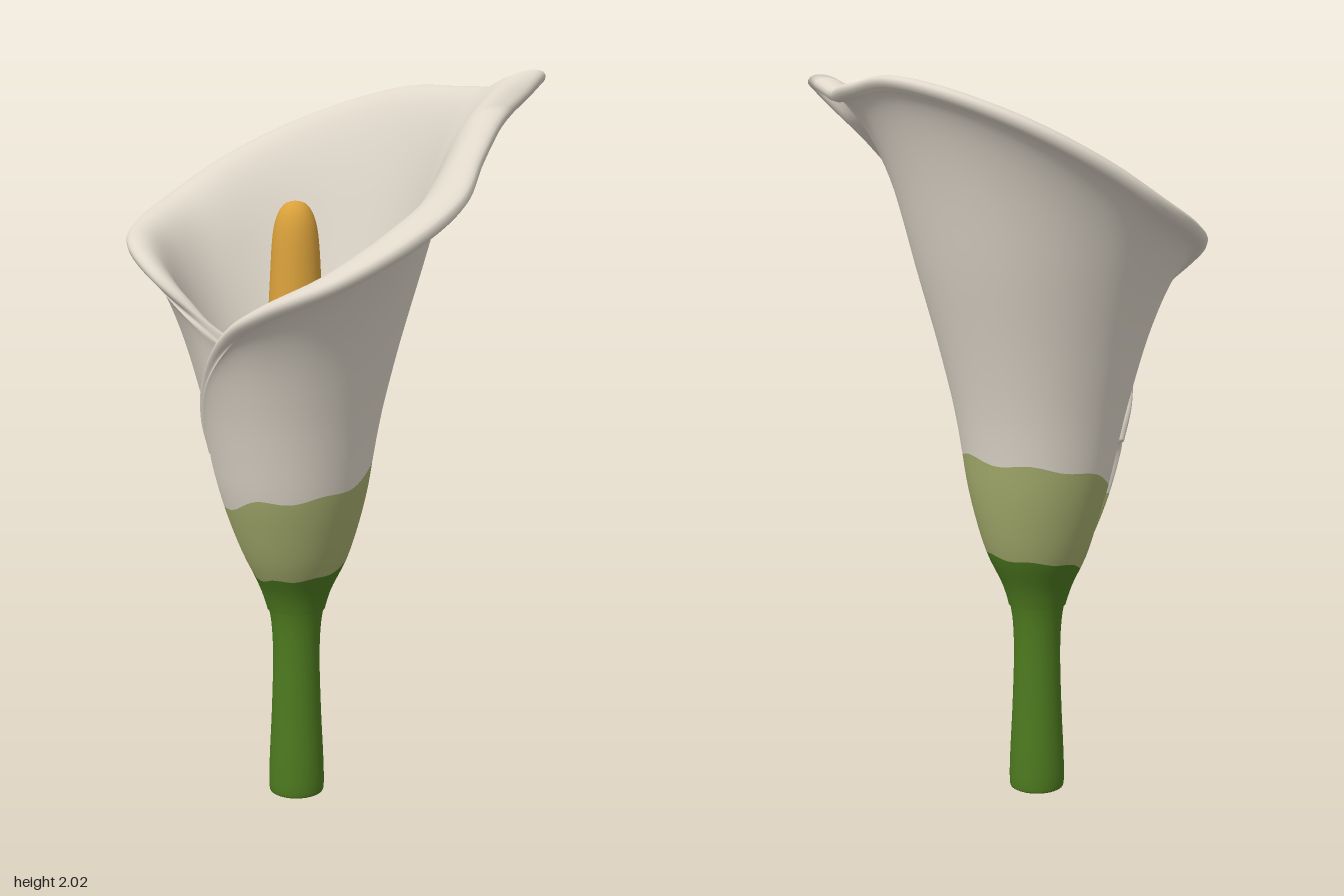
import * as THREE from 'three';

const mat = (name, color) => Object.assign(new THREE.MeshStandardMaterial({ color }), { name });
const V = (x, y, z) => new THREE.Vector3(x, y, z);
const step = THREE.MathUtils.smoothstep;
const AXIS_X = -0.022, AXIS_Z = 0.053;

// Cup radius at every 0.1 of height, from y = 0.4 to y = 2.0
const cup = new THREE.SplineCurve(
  [0.065, 0.07, 0.095, 0.145, 0.18, 0.207, 0.226, 0.246, 0.27, 0.295, 0.322, 0.348, 0.37, 0.39, 0.41, 0.43, 0.45]
    .map((r, i) => new THREE.Vector2(r, 0.4 + i * 0.1)));
const cupRadius = y => cup.getPoint(THREE.MathUtils.clamp((y - 0.4) / 1.6, 0, 1)).x;
const centreZ = y => AXIS_Z + 0.024 * step(y, 0.5, 1.2);

// Rim of the petal: tucked inner end, left lip, back, right lip, outer overlap
const rim = new THREE.CatmullRomCurve3([
  V(0.05, 1.22, 0.135), V(0.02, 1.26, 0.21), V(-0.04, 1.31, 0.29), V(-0.13, 1.39, 0.35), V(-0.25, 1.475, 0.377),
  V(-0.4, 1.55, 0.315), V(-0.515, 1.6, 0.16), V(-0.552, 1.66, 0), V(-0.505, 1.755, -0.16),
  V(-0.39, 1.85, -0.31), V(-0.2, 1.93, -0.418), V(0, 1.97, -0.45), V(0.2, 1.963, -0.407),
  V(0.36, 1.95, -0.355), V(0.44, 1.925, -0.295), V(0.465, 1.86, -0.19), V(0.5, 1.78, -0.07),
  V(0.55, 1.68, 0.08), V(0.525, 1.585, 0.25), V(0.4, 1.485, 0.385),
  V(0.2, 1.405, 0.447), V(0.05, 1.335, 0.422), V(-0.085, 1.21, 0.355), V(-0.14, 1.1, 0.305), V(-0.15, 1.0, 0.265),
], false, 'centripetal');

// Small pointed tip pulled out of the back right corner of the rim
const TIP_ROOT = V(0.43, 1.93, -0.31), TIP_PULL = V(0.09, 0.065, -0.015), TIP_WIDTH = 0.04;

function spatheGeometry() {
  const COLS = 260, LOW = 6, MID = 8, TOP = 32, ROWS = LOW + MID + TOP, HALF = 0.02;
  const INNER_GREEN = LOW + 3;
  const grid = [];
  let last = null;
  // Mid surface: a cup that rolls out to the rim, column by column
  for (let i = 0; i <= COLS; i++) {
    const u = i / COLS;
    const s = THREE.MathUtils.clamp(u - 0.85 * Math.sin(2 * Math.PI * u) / (2 * Math.PI), 0, 1);
    const p = rim.getPointAt(s);
    let a = Math.atan2(p.x - AXIS_X, p.z - centreZ(p.y));
    if (last !== null) a += 2 * Math.PI * Math.round((last - a) / (2 * Math.PI));
    last = a;
    const tuck = 0.044 * step(a, -1.7, 0.1);
    const innerEnd = 1 - step(s, 0, 0.1), outerEnd = step(s, 0.88, 1);
    const body = y => {
      const r = cupRadius(y) - 0.018 - tuck * step(y, 0.58, 0.85);
      const t = a - 0.55 * innerEnd + 0.25 * outerEnd * (1 - step(y, 0.55, 0.88));
      return V(AXIS_X + r * Math.sin(t), y, centreZ(y) + r * Math.cos(t));
    };
    const flare = p.clone().sub(body(p.y));
    const roll = 0.2 * flare.length();
    const tip = Math.exp(-((p.distanceTo(TIP_ROOT) / TIP_WIDTH) ** 2));
    const wave = 0.008 * Math.sin(3 * a + 0.6) + 0.006 * Math.sin(7 * a);
    const base = 0.55;
    const low = 0.682 - 0.026 * Math.cos(a) + wave * 0.5;
    const high = 0.935 - 0.052 * Math.cos(a) + wave - 0.03 * outerEnd;
    const col = [];
    for (let j = 0; j <= ROWS; j++) {
      let y;
      if (j <= LOW) y = base + (low - base) * j / LOW;
      else if (j <= LOW + MID) y = low + (high - low) * (j - LOW) / MID;
      else y = high + (p.y - high) * (1 - (1 - (j - LOW - MID) / TOP) ** 2.6);
      const v = Math.min(1, (y - base) / (p.y - base));
      const w = 1 - Math.sqrt(1 - v ** 7);
      const q = body(y).addScaledVector(flare, w).addScaledVector(TIP_PULL, tip * v ** 14);
      q.y += roll * Math.sin(Math.PI * w);
      col.push(q);
    }
    grid.push(col);
  }
  // Thicken to both sides, rounding off towards the free edges
  const clampI = i => Math.min(COLS, Math.max(0, i)), clampJ = j => Math.min(ROWS, Math.max(0, j));
  const offsetPoint = (i, j, side) => {
    const p = grid[i][j];
    const du = grid[clampI(i + 1)][j].clone().sub(grid[clampI(i - 1)][j]);
    const dv = grid[i][clampJ(j + 1)].clone().sub(grid[i][clampJ(j - 1)]);
    const n = dv.cross(du).normalize();
    let edge = p.distanceTo(grid[i][ROWS]);
    if (i < 30) edge = Math.min(edge, p.distanceTo(grid[0][j]) + i * 1e-3);
    if (i > COLS - 30) edge = Math.min(edge, p.distanceTo(grid[COLS][j]) + (COLS - i) * 1e-3);
    const d = Math.min(1, edge / (HALF * 1.1));
    return p.clone().addScaledVector(n, side * HALF * Math.sqrt(1 - (1 - d) ** 2));
  };
  // Outer face up to the rim, then inner face back down
  const pos = [], index = [], W = COLS + 1;
  for (let k = 0; k <= 2 * ROWS; k++) {
    const j = k <= ROWS ? k : 2 * ROWS - k;
    for (let i = 0; i <= COLS; i++) pos.push(...offsetPoint(i, j, k <= ROWS ? 1 : -1).toArray());
  }
  const geo = new THREE.BufferGeometry();
  for (let k = 0; k < 2 * ROWS; k++) {
    const outer = k < ROWS;
    const j = outer ? k : 2 * ROWS - 1 - k;
    const start = index.length;
    for (let i = 0; i < COLS; i++) {
      const a = k * W + i, b = a + 1, d = a + W, c = d + 1;
      index.push(a, d, c, a, c, b);
    }
    geo.addGroup(start, index.length - start, j < (outer ? LOW : INNER_GREEN) ? 0 : j < LOW + MID ? 1 : 2);
  }
  geo.setAttribute('position', new THREE.Float32BufferAttribute(pos, 3));
  geo.setIndex(index);
  geo.computeVertexNormals();
  return geo;
}

// Smooth turned part from [radius, height] points
function turned(name, profile, material) {
  const curve = new THREE.SplineCurve(profile.map(([r, y]) => new THREE.Vector2(r, y)));
  const pts = curve.getPoints(profile.length * 5).map(p => new THREE.Vector2(Math.max(0, p.x), p.y));
  const mesh = new THREE.Mesh(new THREE.LatheGeometry(pts, 40), material);
  mesh.name = name;
  mesh.position.set(AXIS_X, 0, AXIS_Z);
  return mesh;
}

export function createModel() {
  const stemGreen = mat('stem green', 0x4d7a1f);
  const paleGreen = mat('pale green', 0xa6ae6e);
  const cream = mat('petal cream', 0xdfd7ca);
  const amber = mat('spadix amber', 0xdaa13b);

  const group = new THREE.Group();
  group.name = 'lilyFlower';

  const spathe = new THREE.Mesh(spatheGeometry(), [stemGreen, paleGreen, cream]);
  spathe.name = 'spathe';
  group.add(spathe);

  group.add(turned('stem', [
    [0, 0], [0.04, 0], [0.07, 0.003], [0.078, 0.02], [0.077, 0.1], [0.07, 0.25], [0.066, 0.4],
    [0.07, 0.5], [0.082, 0.57], [0.09, 0.62], [0.07, 0.645], [0, 0.65],
  ], stemGreen));

  group.add(turned('spadix', [
    [0, 0.62], [0.06, 0.63], [0.078, 0.7], [0.088, 0.9], [0.088, 1.1], [0.079, 1.3], [0.071, 1.45],
    [0.063, 1.58], [0.05, 1.64], [0.028, 1.672], [0, 1.68],
  ], amber));

  return group;
}
